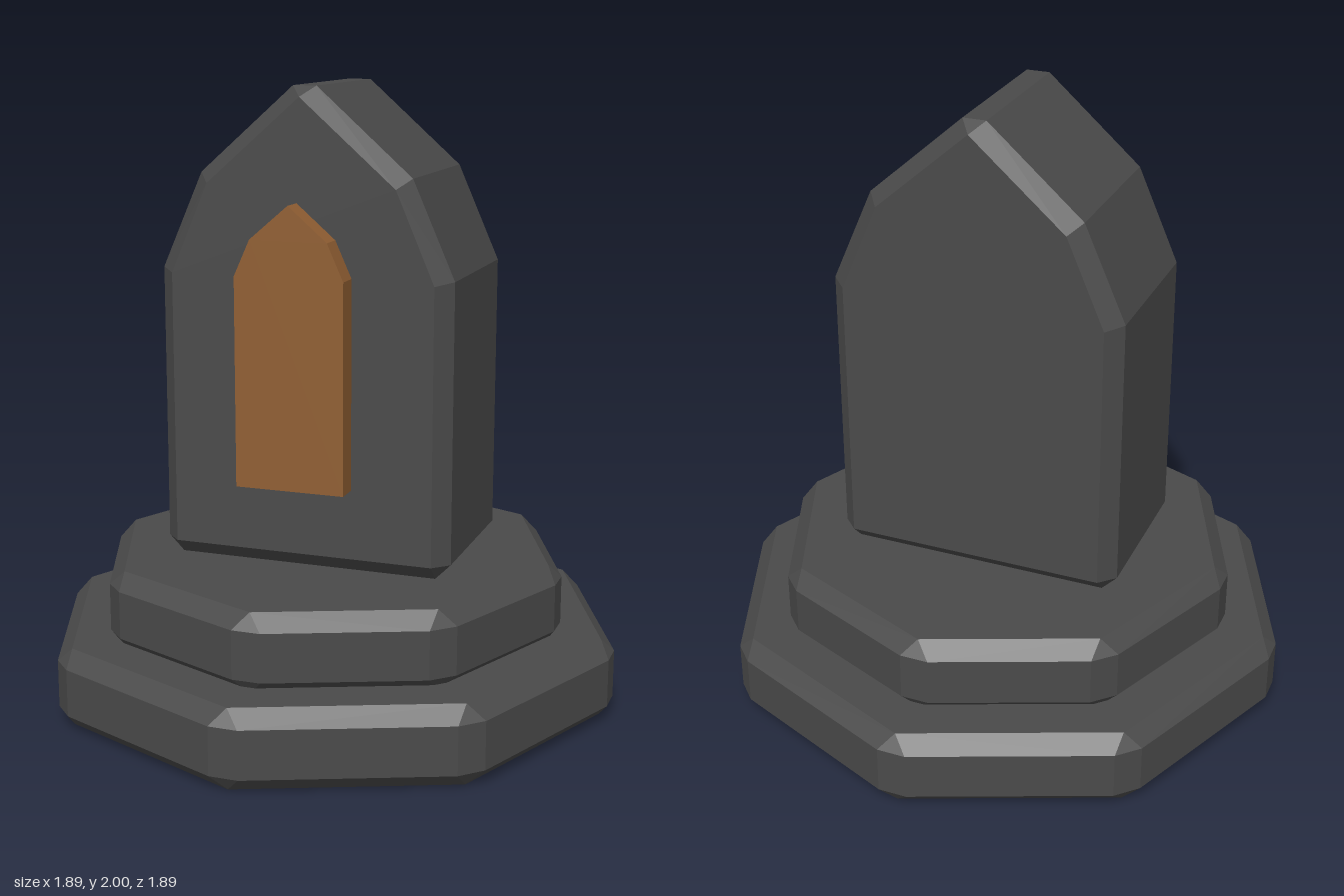
import * as THREE from 'three';
import { ConvexGeometry } from 'three/addons/geometries/ConvexGeometry.js';

const BEVEL = 0.05;

function mesh(name, geometry, material) {
  const m = new THREE.Mesh(geometry, material);
  m.name = name;
  return m;
}

// Octagonal slab with every edge chamfered
function octagonTier(radius, y0, y1) {
  const points = [];
  const half = Math.PI / 8;
  const capRadius = radius - BEVEL / Math.cos(half);
  const up = new THREE.Vector3(0, 1, 0);
  for (let i = 0; i < 8; i++) {
    const add = (x, y, z) =>
      points.push(new THREE.Vector3(x, y, z).applyAxisAngle(up, i * Math.PI / 4));
    add(capRadius, y0, 0);
    add(capRadius, y1, 0);
    for (const s of [-1, 1]) {
      const x = radius - BEVEL * Math.sin(half);
      const z = s * BEVEL * Math.cos(half);
      add(x, y0 + BEVEL, z);
      add(x, y1 - BEVEL, z);
    }
  }
  return new ConvexGeometry(points);
}

// Pointed-arch stone with chamfered edges: inset faces in front and back, wider rim between
function archStone(depth) {
  const rim = [[0.43, 0.485], [0.48, 0.535], [0.48, 1.425], [0.345, 1.73], [0.038, 2]];
  const face = [[0.43, 0.535], [0.43, 1.415], [0.307, 1.7], [0, 1.968]];
  const points = [];
  const addMirrored = (outline, z) => {
    for (const [x, y] of outline)
      for (const sx of [-1, 1])
        for (const sz of [-1, 1]) points.push(new THREE.Vector3(sx * x, y, sz * z));
  };
  addMirrored(rim, depth - BEVEL);
  addMirrored(face, depth);
  return new ConvexGeometry(points);
}

// Small pointed window panel
function windowPanel(thickness) {
  const right = [[0.177, 0.767], [0.177, 1.43], [0.125, 1.545]];
  const left = right.map(([x, y]) => [-x, y]).reverse();
  const outline = [...right, [0, 1.652], ...left].map(p => new THREE.Vector2(...p));
  return new THREE.ExtrudeGeometry(new THREE.Shape(outline), { depth: thickness, bevelEnabled: false });
}

export function createModel() {
  const stone = new THREE.MeshStandardMaterial({ color: 0x4a4a4a });
  stone.name = 'darkStone';
  const amber = new THREE.MeshStandardMaterial({ color: 0x915f33 });
  amber.name = 'amber';

  const model = new THREE.Group();
  model.name = 'shrine';

  // Stepped base
  model.add(mesh('lowerTier', octagonTier(0.965, 0, 0.255), stone));
  model.add(mesh('upperTier', octagonTier(0.786, 0.23, 0.485), stone));

  // Standing stone and the panel floating in front of it
  model.add(mesh('archStone', archStone(0.305), stone));
  const panel = mesh('windowPanel', windowPanel(0.075), amber);
  panel.position.z = 0.33;
  model.add(panel);

  return model;
}
